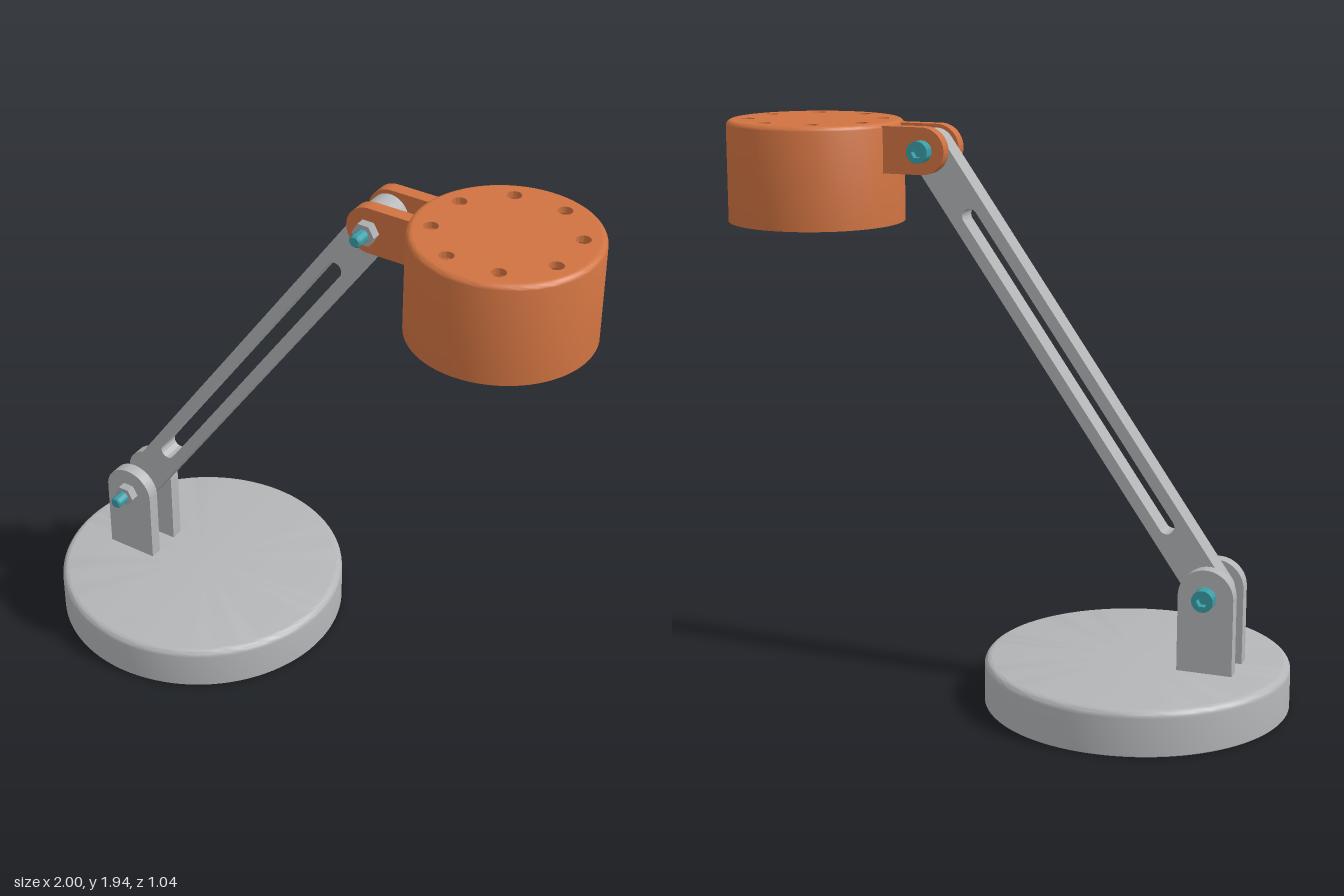
import * as THREE from 'three';
import { toCreasedNormals } from 'three/addons/utils/BufferGeometryUtils.js';

const gray = new THREE.MeshStandardMaterial({ name: 'lightGray', color: 0xb3b5b7 });
const steel = new THREE.MeshStandardMaterial({ name: 'nutSteel', color: 0xa9acae });
const orange = new THREE.MeshStandardMaterial({ name: 'shadeOrange', color: 0xd07341 });
const teal = new THREE.MeshStandardMaterial({ name: 'boltTeal', color: 0x3a9ea8 });

const LOWER = new THREE.Vector2(-0.74, 0.42); // pivot on the base
const UPPER = new THREE.Vector2(0.265, 1.855); // pivot on the shade

function part(name, geometry, material) {
  const mesh = new THREE.Mesh(toCreasedNormals(geometry, 0.6), material);
  mesh.name = name;
  return mesh;
}

function lathe(points, segments = 72) {
  return new THREE.LatheGeometry(points.map(([r, y]) => new THREE.Vector2(r, y)), segments);
}

// Quarter-round from the side wall up to the top face
function fillet(radius, top, f, steps = 6) {
  return Array.from({ length: steps + 1 }, (_, i) => {
    const a = (i / steps) * Math.PI / 2;
    return [radius - f + f * Math.cos(a), top - f + f * Math.sin(a)];
  });
}

function extrude(shape, z0, z1) {
  const g = new THREE.ExtrudeGeometry(shape, { depth: z1 - z0, bevelEnabled: false, curveSegments: 24 });
  return g.translate(0, 0, z0);
}

// Outline with round ends, lying along x from a to b
function slotOutline(Type, a, b, r) {
  const s = new Type();
  s.absarc(b, 0, r, -Math.PI / 2, Math.PI / 2, false);
  s.absarc(a, 0, r, Math.PI / 2, Math.PI * 1.5, false);
  s.closePath();
  return s;
}

// Plate with a round end at the origin, running along +x
function lugShape(length, r) {
  const s = new THREE.Shape();
  s.moveTo(length, -r);
  s.lineTo(length, r);
  s.lineTo(0, r);
  s.absarc(0, 0, r, Math.PI / 2, Math.PI * 1.5, false);
  s.closePath();
  return s;
}

// Pair of plates either side of the arm
function fork(name, pivot, length, r, angle, material) {
  const group = new THREE.Group();
  group.name = name;
  for (const [z0, z1, side] of [[0.044, 0.089, 'Front'], [-0.089, -0.044, 'Back']]) {
    group.add(part(name + side, extrude(lugShape(length, r), z0, z1), material));
  }
  group.position.set(pivot.x, pivot.y, 0);
  group.rotation.z = angle;
  return group;
}

// Socket-head bolt along z with a hex nut at the front
function bolt(name, pivot) {
  const group = new THREE.Group();
  group.name = name;
  const shaft = lathe([[0, -0.105], [0.021, -0.105], [0.021, 0.166], [0.016, 0.172], [0, 0.172]], 24);
  group.add(part('boltShaft', shaft.rotateX(Math.PI / 2), teal));

  const head = new THREE.Shape().absarc(0, 0, 0.037, 0, Math.PI * 2, false);
  const socket = new THREE.Path();
  for (let i = 0; i < 6; i++) {
    const a = -i * Math.PI / 3;
    socket[i ? 'lineTo' : 'moveTo'](0.02 * Math.cos(a), 0.02 * Math.sin(a));
  }
  socket.closePath();
  head.holes.push(socket);
  group.add(part('boltHead', extrude(head, -0.132, -0.089), teal));

  const nut = new THREE.CylinderGeometry(0.04, 0.04, 0.033, 6);
  nut.rotateY(Math.PI / 6).rotateX(Math.PI / 2).translate(0, 0, 0.1045);
  group.add(part('nut', nut, steel));
  group.position.set(pivot.x, pivot.y, 0);
  return group;
}

export function createModel() {
  const model = new THREE.Group();
  model.name = 'deskLamp';

  // Round base with a shallow recess underneath
  const base = part('base', lathe([
    [0, 0.008], [0.39, 0.008], [0.39, 0], [0.517, 0], [0.52, 0.003],
    ...fillet(0.52, 0.156, 0.026), [0, 0.156],
  ], 96), gray);
  base.position.x = -0.48;
  model.add(base);

  // Slotted arm between the two pivots
  const span = UPPER.clone().sub(LOWER);
  const length = span.length();
  const armShape = slotOutline(THREE.Shape, 0, length, 0.067);
  armShape.holes.push(slotOutline(THREE.Path, 0.265, length - 0.265, 0.027));
  const arm = part('arm', extrude(armShape, -0.041, 0.041), gray);
  arm.position.set(LOWER.x, LOWER.y, 0);
  arm.rotation.z = span.angle();
  model.add(arm);

  // Forks and bolts
  model.add(fork('baseFork', LOWER, 0.28, 0.095, -Math.PI / 2, gray));
  model.add(fork('shadeFork', UPPER, 0.145, 0.079, 0, orange));
  model.add(bolt('lowerBolt', LOWER), bolt('upperBolt', UPPER));

  // Open-bottomed shade
  const shade = new THREE.Group();
  shade.name = 'shade';
  shade.position.x = 0.695;
  shade.add(part('shadeWall', lathe([
    [0.283, 1.92], [0.283, 1.595], [0.304, 1.595], ...fillet(0.304, 1.942, 0.021),
  ]), orange));

  // Shade top with a ring of vent holes
  const disc = new THREE.Shape().absarc(0, 0, 0.2832, 0, Math.PI * 2, false);
  for (let i = 0; i < 8; i++) {
    const a = (i + 0.5) * Math.PI / 4;
    disc.holes.push(new THREE.Path().absarc(0.229 * Math.cos(a), 0.229 * Math.sin(a), 0.024, 0, Math.PI * 2, true));
  }
  const top = new THREE.ExtrudeGeometry(disc, { depth: 0.022, bevelEnabled: false, curveSegments: 36 });
  shade.add(part('shadeTop', top.rotateX(-Math.PI / 2).translate(0, 1.92, 0), orange));
  model.add(shade);

  return model;
}
